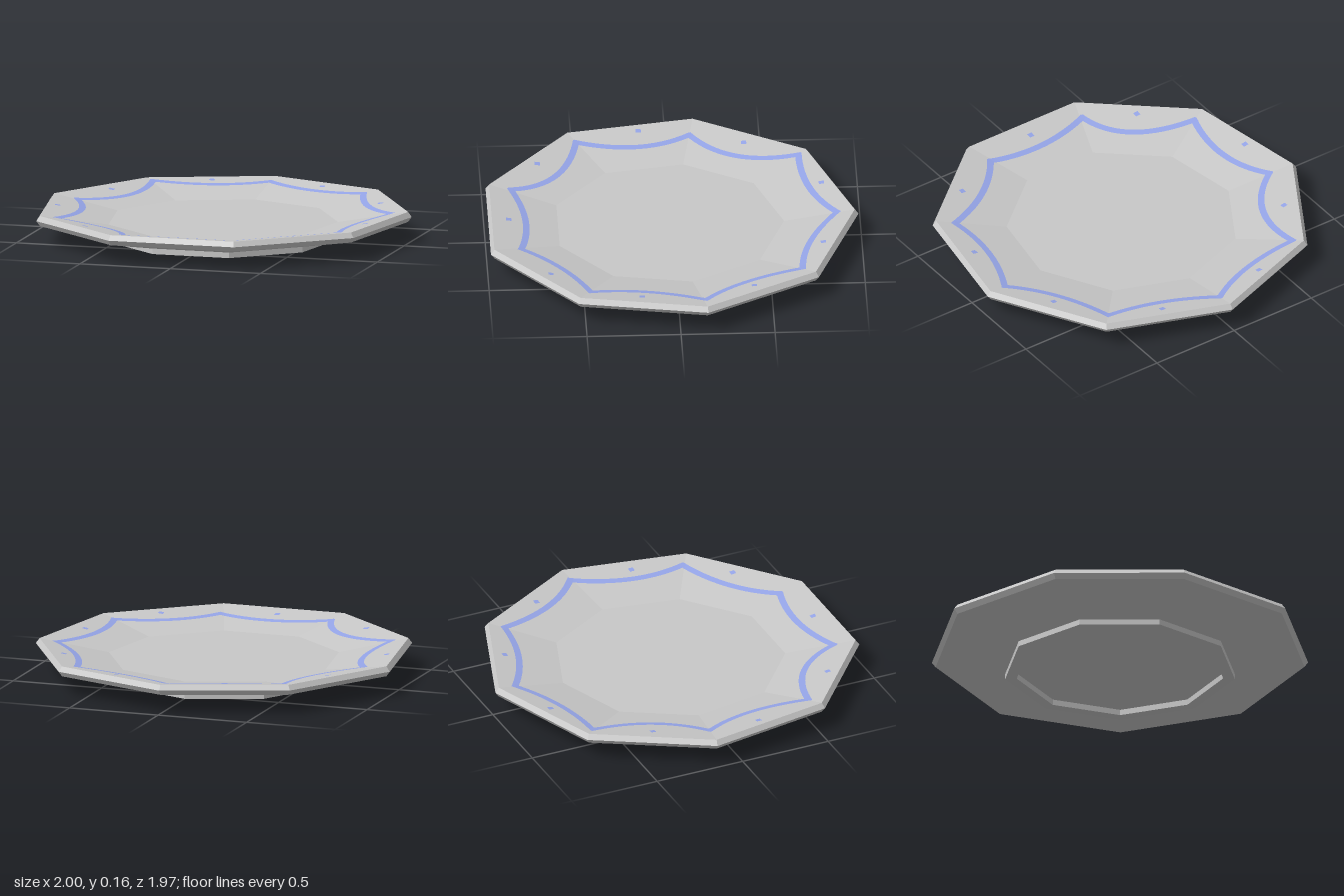
import * as THREE from 'three';

const SIDES = 9, STEP = (Math.PI * 2) / SIDES;
const FLOOR_R = 0.62, RIM_R = 0.995, FLOOR_Y = 0.095, RIM_Y = 0.157, OFFSET_Z = 0.03;

// Height of the faceted upper surface at a point relative to the plate axis
function surfaceY(x, z) {
  let d = 0;
  for (let i = 0; i < SIDES; i++) {
    const a = STEP * (i + 0.5);
    d = Math.max(d, x * Math.sin(a) - z * Math.cos(a));
  }
  const c = Math.cos(STEP / 2);
  const t = (d / c - FLOOR_R) / (RIM_R - FLOOR_R);
  return FLOOR_Y + (RIM_Y - FLOOR_Y) * Math.min(1, Math.max(0, t));
}

// Flat strip following a 2D curve (x, z), laid just above the surface
function ribbon(curve, width, steps, t0, t1) {
  const pos = [], index = [];
  for (let i = 0; i <= steps; i++) {
    const t = t0 + ((t1 - t0) * i) / steps;
    const p = curve.getPoint(t);
    const dir = curve.getPoint(t + 0.01).sub(curve.getPoint(t - 0.01)).normalize();
    for (const s of [-1, 1]) {
      const x = p.x - dir.y * s * width / 2, z = p.y + dir.x * s * width / 2;
      pos.push(x, surfaceY(x, z) + 0.003, z);
    }
    if (i < steps) {
      const a = i * 2;
      index.push(a, a + 1, a + 3, a, a + 3, a + 2);
    }
  }
  const g = new THREE.BufferGeometry();
  g.setAttribute('position', new THREE.Float32BufferAttribute(pos, 3));
  g.setIndex(index);
  g.computeVertexNormals();
  return g;
}

export function createModel() {
  const group = new THREE.Group();
  group.name = 'plate';
  const glaze = new THREE.MeshStandardMaterial({ color: 0xc8c8c8 });
  glaze.name = 'greyGlaze';
  const blue = new THREE.MeshStandardMaterial({ color: 0x98a8ec });
  blue.name = 'bluePaint';

  const add = (geometry, material, name) => {
    const mesh = new THREE.Mesh(geometry, material);
    mesh.name = name;
    mesh.position.z = OFFSET_Z;
    group.add(mesh);
  };

  // Plate body: recessed foot, sloping underside, bevelled rim, shallow well
  const profile = [
    [0, 0.03], [0.555, 0.03], [0.557, 0], [FLOOR_R, 0], [FLOOR_R, 0.03],
    [0.995, 0.103], [1.015, 0.13], [RIM_R, RIM_Y], [FLOOR_R, FLOOR_Y], [0, FLOOR_Y],
  ].map(([x, y]) => new THREE.Vector2(x, y));
  const body = new THREE.LatheGeometry(profile, SIDES, Math.PI).toNonIndexed();
  body.computeVertexNormals();
  add(body, glaze, 'plateBody');

  // Painted scallops: cusp, middle of the arc to the next cusp, dot outside the arc
  const scallops = [
    [0, -0.87, 0.28, -0.72, 0.315, -0.785],
    [0.58, -0.665, 0.695, -0.36, 0.75, -0.40],
    [0.885, -0.14, 0.775, 0.17, 0.845, 0.20],
    [0.78, 0.47, 0.505, 0.615, 0.59, 0.675],
    [0.305, 0.82, 0, 0.785, 0.005, 0.875],
    [-0.31, 0.85, -0.46, 0.61, -0.56, 0.70],
    [-0.78, 0.485, -0.745, 0.16, -0.875, 0.15],
    [-0.845, -0.12, -0.635, -0.36, -0.74, -0.405],
    [-0.595, -0.69, -0.27, -0.735, -0.30, -0.80],
  ];
  const at = (x, z) => new THREE.Vector2(x, z - OFFSET_Z);
  scallops.forEach(([x, z, mx, mz, dx, dz], i) => {
    const next = scallops[(i + 1) % scallops.length];
    const a = at(x, z), b = at(next[0], next[1]);
    const control = at(mx, mz).multiplyScalar(2).addScaledVector(a, -0.5).addScaledVector(b, -0.5);
    const arc = new THREE.QuadraticBezierCurve(a, control, b);
    add(ribbon(arc, 0.035, 20, -0.02, 1.02), blue, 'scallopStripe' + (i + 1));
    const dot = new THREE.LineCurve(at(dx - 0.014, dz), at(dx + 0.014, dz));
    add(ribbon(dot, 0.028, 1, 0, 1), blue, 'paintedDot' + (i + 1));
  });

  return group;
}
